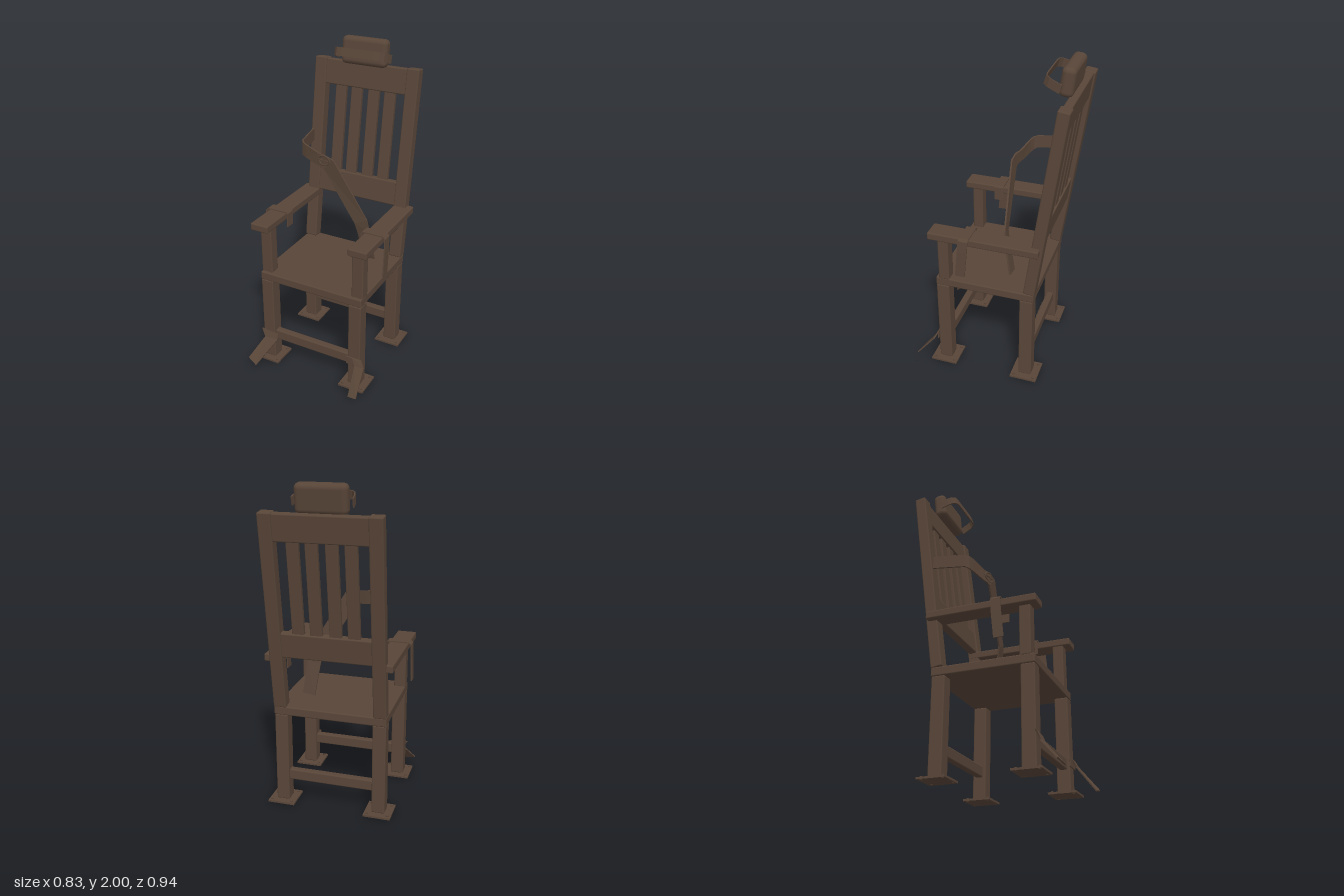
import * as THREE from 'three';
import { RoundedBoxGeometry } from 'three/addons/geometries/RoundedBoxGeometry.js';

const brown = new THREE.MeshStandardMaterial({ color: 0x584538 });
brown.name = 'darkBrown';

function add(parent, name, geometry, x = 0, y = 0, z = 0) {
  const mesh = new THREE.Mesh(geometry, brown);
  mesh.name = name;
  mesh.position.set(x, y, z);
  parent.add(mesh);
  return mesh;
}

// Timber with slightly eased edges
const beam = (w, h, d, r = 0.008) => new RoundedBoxGeometry(w, h, d, 2, r);

// Flat strap with thickness; each station is [ax, ay, az, bx, by, bz], its two edges
function strap(stations, thickness = 0.01) {
  const a = stations.map(s => new THREE.Vector3(s[0], s[1], s[2]));
  const b = stations.map(s => new THREE.Vector3(s[3], s[4], s[5]));
  const mid = a.map((p, i) => p.clone().add(b[i]).multiplyScalar(0.5));
  const last = a.length - 1;
  const rings = a.map((p, i) => {
    const t = mid[Math.min(i + 1, last)].clone().sub(mid[Math.max(i - 1, 0)]);
    const n = t.cross(b[i].clone().sub(p)).normalize().multiplyScalar(thickness / 2);
    return [p.clone().add(n), b[i].clone().add(n), b[i].clone().sub(n), p.clone().sub(n)];
  });
  const pos = [];
  const quad = (p, q, r, s) => [p, q, r, p, r, s].forEach(v => pos.push(v.x, v.y, v.z));
  for (let i = 0; i < last; i++) {
    for (let k = 0; k < 4; k++) {
      const m = (k + 1) % 4;
      quad(rings[i][k], rings[i + 1][k], rings[i + 1][m], rings[i][m]);
    }
  }
  quad(...rings[0]);
  quad(...rings[last].slice().reverse());
  const g = new THREE.BufferGeometry();
  g.setAttribute('position', new THREE.Float32BufferAttribute(pos, 3));
  g.computeVertexNormals();
  return g;
}

export function createModel() {
  const chair = new THREE.Group();
  chair.name = 'restraintChair';

  // Seat board
  add(chair, 'seat', beam(0.70, 0.055, 0.625), 0, 0.62, 0.01);

  // Legs with bolted floor plates
  for (const side of [-1, 1]) {
    for (const z of [0.28, -0.255]) {
      const x = side * 0.307;
      add(chair, 'leg', beam(0.083, 0.58, 0.083), x, 0.303, z);
      add(chair, 'footPlate', new THREE.BoxGeometry(0.17, 0.012, 0.17), x, 0.008, z);
      for (const bx of [-1, 1]) for (const bz of [-1, 1]) {
        add(chair, 'plateBolt', new THREE.CylinderGeometry(0.008, 0.008, 0.022, 10), x + bx * 0.064, 0.011, z + bz * 0.064);
      }
    }
  }

  // Stretchers between the legs
  for (const z of [0.28, -0.255]) add(chair, 'stretcher', beam(0.56, 0.068, 0.045), 0, 0.182, z);

  // Armrests, their front posts and wrist straps
  for (const side of [-1, 1]) {
    add(chair, 'armrest', beam(0.12, 0.047, 0.68), side * 0.33, 0.966, 0.008);
    add(chair, 'armPost', beam(0.075, 0.31, 0.068), side * 0.313, 0.797, 0.268);
    const path = [[0.256, 0.90, 0.082], [0.256, 0.99, 0.082], [0.262, 0.997, 0.082], [0.395, 0.997, 0.082],
      [0.408, 0.985, 0.084], [0.411, 0.91, 0.09], [0.413, 0.74, 0.107]];
    add(chair, 'wristStrap', strap(path.map(([x, y, z]) => [side * x, y, z, side * x, y, z + 0.06]), 0.007));
  }

  // Reclined back frame
  const back = new THREE.Group();
  back.name = 'backFrame';
  back.position.set(0, 0.65, -0.27);
  back.rotation.x = -0.137;
  chair.add(back);
  for (const side of [-1, 1]) add(back, 'backPost', beam(0.08, 1.205, 0.07), side * 0.311, 0.6, 0);
  add(back, 'topRail', beam(0.56, 0.158, 0.05), 0, 1.118, 0);
  add(back, 'lowerRail', beam(0.56, 0.155, 0.05), 0, 0.412, 0);
  for (const x of [-0.167, -0.058, 0.058, 0.167]) add(back, 'slat', beam(0.072, 0.6, 0.03, 0.005), x, 0.765, 0);

  // Padded headrest and forehead strap
  const pad = add(chair, 'headrest', new RoundedBoxGeometry(0.30, 0.168, 0.08, 4, 0.03), 0, 1.915, -0.397);
  pad.rotation.x = -0.11;
  const headPath = [[-0.165, -0.38], [-0.163, -0.335], [-0.155, -0.305], [-0.135, -0.287], [-0.1, -0.283],
    [0.11, -0.283], [0.145, -0.287], [0.165, -0.31], [0.173, -0.34], [0.18, -0.38]];
  add(chair, 'headStrap', strap(headPath.map(([x, z]) => {
    const y = 1.952 + (z + 0.283) * 0.36;
    return [x, y, z, x, y - 0.05, z + 0.014];
  }), 0.007));

  // Chest strap running from the right back post and hanging into the seat
  add(chair, 'chestStrap', strap([
    [-0.33, 1.39, -0.325, -0.33, 1.31, -0.325],
    [-0.295, 1.382, -0.13, -0.295, 1.302, -0.13],
    [-0.28, 1.377, -0.108, -0.28, 1.292, -0.108],
    [-0.25, 1.37, -0.095, -0.25, 1.285, -0.095],
    [-0.15, 1.345, -0.068, -0.165, 1.268, -0.068],
    [-0.08, 1.34, -0.048, -0.125, 1.263, -0.055],
    [-0.03, 1.325, -0.043, -0.10, 1.255, -0.05],
    [0.19, 0.96, -0.07, 0.108, 0.925, -0.065],
    [0.205, 0.88, -0.08, 0.122, 0.865, -0.077],
    [0.228, 0.675, -0.115, 0.148, 0.668, -0.12],
  ]));
  const buckle = add(chair, 'buckle', new THREE.TorusGeometry(0.03, 0.006, 8, 24), -0.1, 1.31, -0.05);
  buckle.scale.x = 1.4;
  buckle.rotation.y = -0.15;
  add(chair, 'bucklePin', new THREE.BoxGeometry(0.07, 0.008, 0.008), -0.1, 1.31, -0.046).rotation.y = -0.15;

  // Ankle straps hanging from the front legs
  add(chair, 'rightAnkleStrap', strap([
    [-0.36, 0.215, 0.322, -0.24, 0.205, 0.322],
    [-0.33, 0.165, 0.338, -0.237, 0.17, 0.335],
    [-0.393, 0.045, 0.445, -0.325, 0.022, 0.466],
  ], 0.008));
  add(chair, 'leftAnkleBand', beam(0.105, 0.055, 0.008, 0.003), 0.31, 0.19, 0.324);
  add(chair, 'leftAnkleStrap', strap([
    [0.30, 0.215, 0.325, 0.362, 0.215, 0.325],
    [0.325, 0.175, 0.342, 0.387, 0.18, 0.342],
    [0.338, 0.025, 0.455, 0.394, 0.035, 0.462],
  ], 0.008));

  return chair;
}
